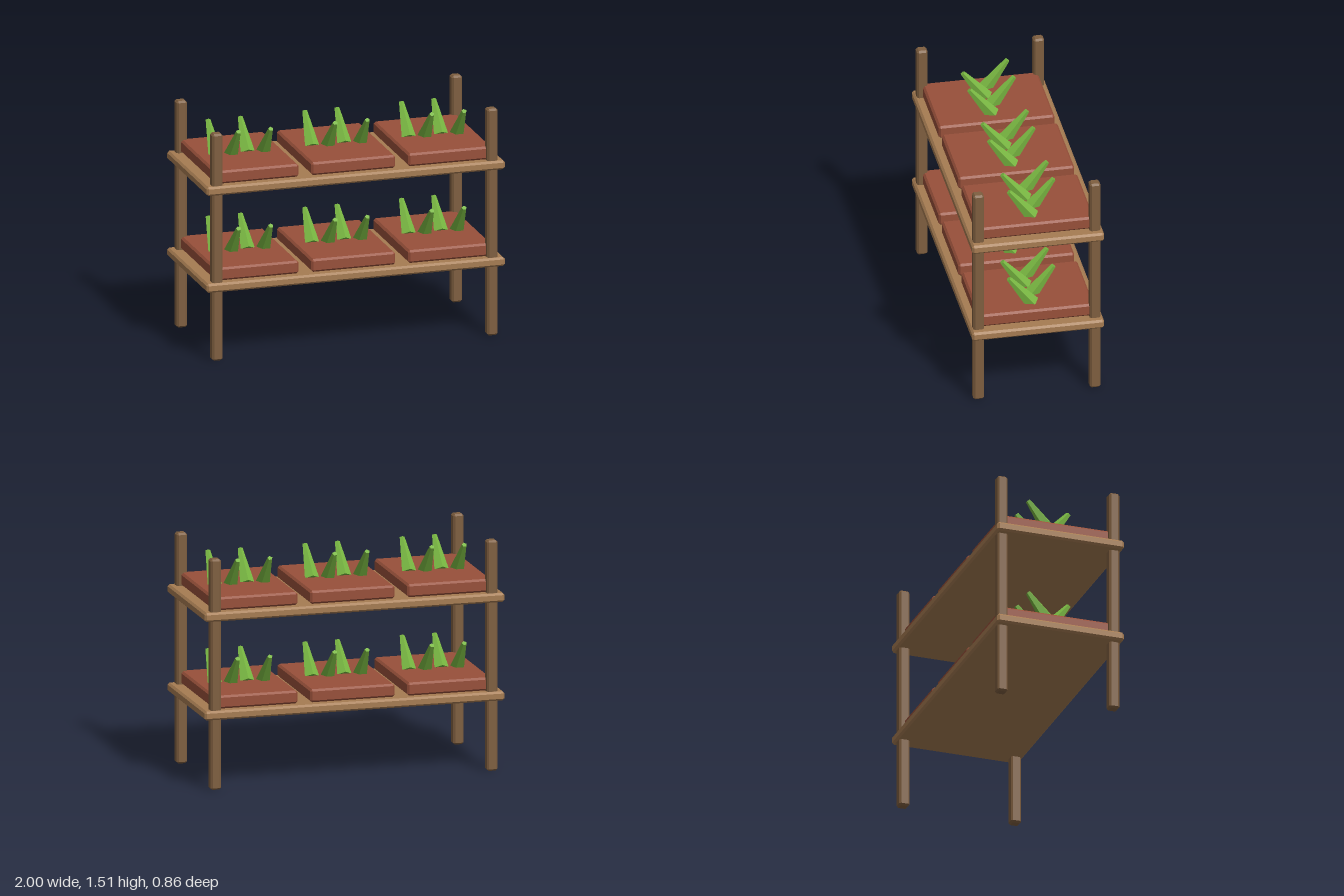
import * as THREE from 'three';
import { ConvexGeometry } from 'three/addons/geometries/ConvexGeometry.js';

const flat = (name, color) => {
  const m = new THREE.MeshStandardMaterial({ color, flatShading: true });
  m.name = name;
  return m;
};

// Box with single-facet chamfers: three points around every corner
function chamferBox(w, h, d, c) {
  const pts = [];
  for (const x of [-1, 1]) for (const y of [-1, 1]) for (const z of [-1, 1]) {
    const [X, Y, Z] = [w / 2, h / 2, d / 2];
    pts.push(
      new THREE.Vector3(x * X, y * (Y - c), z * (Z - c)),
      new THREE.Vector3(x * (X - c), y * Y, z * (Z - c)),
      new THREE.Vector3(x * (X - c), y * (Y - c), z * Z));
  }
  return new ConvexGeometry(pts);
}

export function createModel() {
  const group = new THREE.Group();
  group.name = 'plantRack';
  const postWood = flat('dark wood', 0x7f5f40);
  const shelfWood = flat('light wood', 0xa67c52);
  const clay = flat('terracotta', 0x98503a);
  const green = flat('leaf green', 0x78b641);

  const add = (parent, name, geometry, material, x, y, z) => {
    const mesh = new THREE.Mesh(geometry, material);
    mesh.name = name;
    mesh.position.set(x, y, z);
    parent.add(mesh);
    return mesh;
  };

  // Four corner posts
  const H = 1.515;
  const postGeo = chamferBox(0.07, H, 0.07, 0.012);
  for (const x of [-0.922, 0.922]) for (const z of [-0.38, 0.38])
    add(group, 'post', postGeo, postWood, x, H / 2, z);

  const shelfGeo = chamferBox(2, 0.06, 0.862, 0.013);
  const trayGeo = chamferBox(0.563, 0.086, 0.756, 0.013);

  // Five-sided tapering leaf, one ridge facing up, leaning towards -z
  const leafGeo = new THREE.CylinderGeometry(0.017, 0.05, 0.247, 5);
  leafGeo.translate(0, 0.1235, 0);
  leafGeo.rotateX(-0.66);

  // Two tiers, each with three trays of four alternating leaves
  for (const y of [0.492, 1.139]) {
    const tier = new THREE.Group();
    tier.name = 'tier';
    tier.position.y = y;
    group.add(tier);
    add(tier, 'shelf', shelfGeo, shelfWood, 0, 0, 0);
    for (const x of [-0.648, 0, 0.648]) {
      add(tier, 'tray', trayGeo, clay, x, 0.073, 0);
      for (let i = 0; i < 4; i++) {
        const back = i % 2 === 0;
        const leaf = add(tier, 'leaf', leafGeo, green,
          x + (i - 1.5) * 0.108, 0.103, back ? -0.005 : 0.005);
        if (!back) leaf.rotation.y = Math.PI;
      }
    }
  }
  return group;
}
